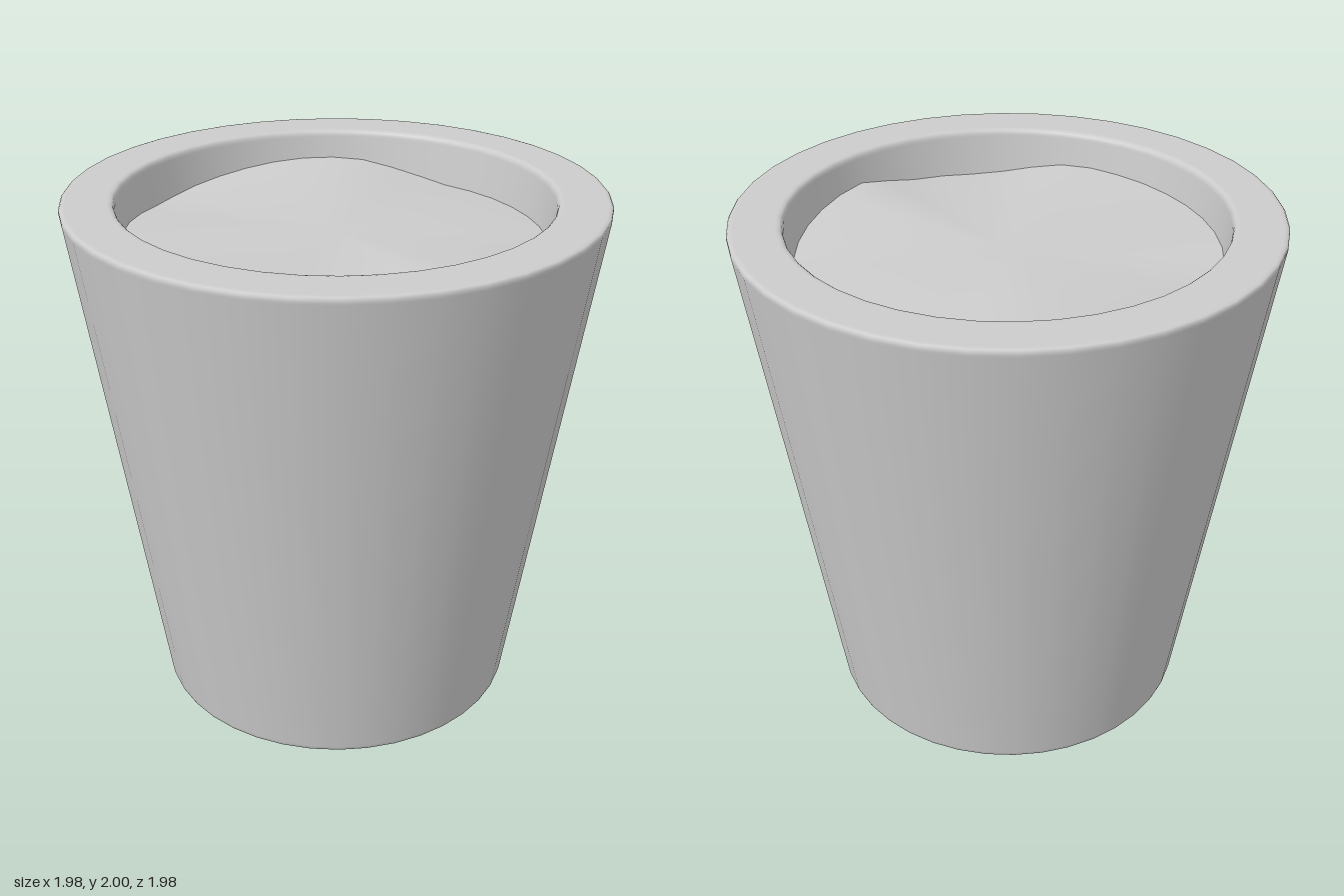
import * as THREE from 'three';
import { mergeVertices } from 'three/addons/utils/BufferGeometryUtils.js';

const SIDES = 40;
const material = () => new THREE.MeshStandardMaterial({ color: 0xcccccc });

// Rounds each corner of an open profile; points beside each arc keep the long faces evenly shaded
function roundedProfile(corners, radius) {
  const out = [corners[0]];
  for (let i = 1; i < corners.length - 1; i++) {
    const p = corners[i];
    const a = corners[i - 1].clone().sub(p).normalize();
    const b = corners[i + 1].clone().sub(p).normalize();
    const at = (dir, d) => p.clone().addScaledVector(dir, d);
    const arc = new THREE.QuadraticBezierCurve(at(a, radius), p, at(b, radius));
    out.push(at(a, radius * 1.4), ...arc.getPoints(3), at(b, radius * 1.4));
  }
  out.push(corners[corners.length - 1]);
  return out;
}

// Depth of the soil's edge below the rim: [angle in degrees, depth]
const EDGE = [
  [-191, 0.15], [-168, 0.17], [-153, 0.15], [-128, 0.117], [-112, 0.105], [-99, 0.116],
  [-74, 0.18], [-40, 0.18], [-9, 0.175], [17, 0.14], [35, 0.115], [53, 0.165],
  [77, 0.18], [102, 0.125], [135, 0.14], [169, 0.15], [192, 0.17],
];
function edgeDepth(deg) {
  const i = Math.max(1, EDGE.findIndex(([a]) => a >= deg));
  const [a0, d0] = EDGE[i - 1], [a1, d1] = EDGE[i];
  return THREE.MathUtils.lerp(d0, d1, (deg - a0) / (a1 - a0));
}

export function createModel() {
  const group = new THREE.Group();
  group.name = 'planter';

  // Tapered pot: base, outer wall, broad rim and inner wall in one turned profile
  const corners = [[0, 0], [0.7, 0], [0.995, 2], [0.8, 2], [0.76, 1.72]]
    .map(([x, y]) => new THREE.Vector2(x, y));
  const pot = new THREE.Mesh(
    new THREE.LatheGeometry(roundedProfile(corners, 0.018), SIDES), material());
  pot.material.side = THREE.DoubleSide;
  pot.name = 'pot';
  group.add(pot);

  // Uneven soil: a disc whose height follows the edge and evens out towards the middle
  const R = 0.785;
  let soilGeo = new THREE.RingGeometry(0, R, SIDES, 8).rotateX(-Math.PI / 2);
  const pos = soilGeo.attributes.position;
  for (let i = 0; i < pos.count; i++) {
    const x = pos.getX(i), z = pos.getZ(i);
    const r = Math.hypot(x, z) / R;
    const deg = THREE.MathUtils.radToDeg(Math.atan2(z, x));
    const depth = THREE.MathUtils.lerp(0.145, edgeDepth(deg), r * r);
    pos.setY(i, 2 - depth);
  }
  soilGeo.deleteAttribute('normal');
  soilGeo.deleteAttribute('uv');
  soilGeo = mergeVertices(soilGeo, 1e-4);
  soilGeo.computeVertexNormals();
  const soil = new THREE.Mesh(soilGeo, material());
  soil.name = 'soil';
  group.add(soil);

  return group;
}
